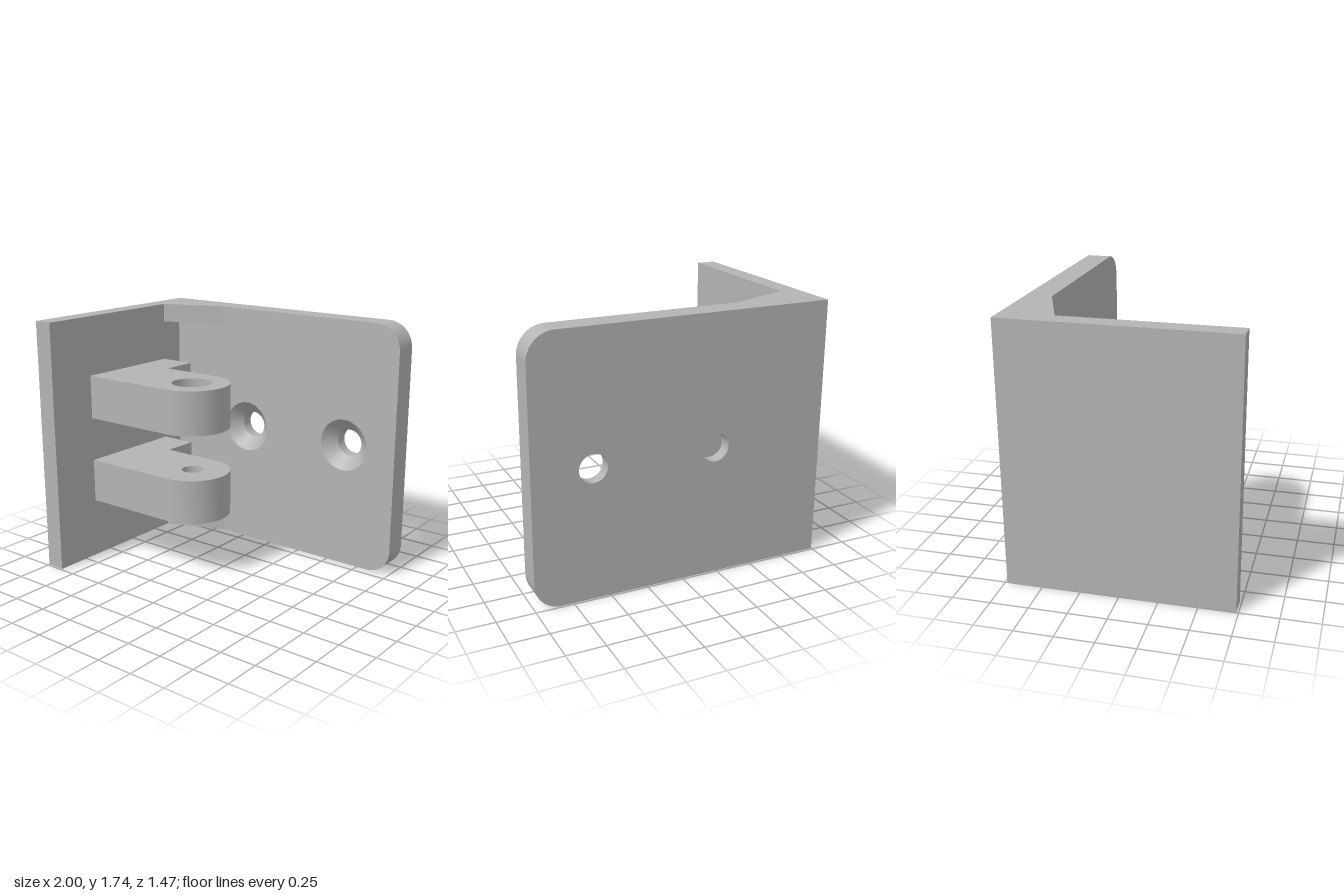
import * as THREE from 'three';
import { toCreasedNormals } from 'three/addons/utils/BufferGeometryUtils.js';

const HEIGHT = 1.74;
const BACK = -0.737, FACE = -0.567, SINK = 0.088; // back plate depths
const INNER = -0.87;                              // inner face of the side plate
const PIN = { x: -0.175, z: 0.126 };              // hinge pin axis

function addHole(shape, x, y, r) {
  shape.holes.push(new THREE.Path().absarc(x, y, r, 0, Math.PI * 2, true));
}

function extrude(shape, depth) {
  const geo = new THREE.ExtrudeGeometry(shape, { depth, bevelEnabled: false, curveSegments: 32 });
  return toCreasedNormals(geo, 0.5);
}

// Extrudes a plan drawn in (x, -z) upwards from y0 to y1
function extrudeUp(shape, y0, y1) {
  return extrude(shape, y1 - y0).rotateX(-Math.PI / 2).translate(0, y0, 0);
}

// Back plate outline: square at the side plate, rounded at the free end
function plateShape(holes, holeRadius) {
  const r = 0.175, s = new THREE.Shape();
  s.moveTo(-1, 0);
  s.lineTo(1 - r, 0);
  s.absarc(1 - r, r, r, -Math.PI / 2, 0, false);
  s.lineTo(1, HEIGHT - r);
  s.absarc(1 - r, HEIGHT - r, r, 0, Math.PI / 2, false);
  s.lineTo(-1, HEIGHT);
  s.closePath();
  holes.forEach((x) => addHole(s, x, HEIGHT / 2, holeRadius));
  return s;
}

// Hinge lug plan: stepped root, rounded nose, pin hole
function lugShape(holeRadius) {
  const r = 0.26, s = new THREE.Shape();
  s.moveTo(INNER, -(PIN.z + r));
  s.lineTo(PIN.x, -(PIN.z + r));
  s.absarc(PIN.x, -PIN.z, r, -Math.PI / 2, Math.PI / 2, false);
  s.lineTo(-0.613, r - PIN.z);
  s.lineTo(-0.613, 0.39);
  s.lineTo(INNER, 0.39);
  s.closePath();
  addHole(s, PIN.x, -PIN.z, holeRadius);
  return s;
}

export function createModel() {
  const group = new THREE.Group();
  const metal = new THREE.MeshStandardMaterial({ color: 0xb4b4b4 });
  const metalInside = metal.clone();
  metalInside.side = THREE.DoubleSide;
  const add = (name, geo, mat = metal) => {
    const mesh = new THREE.Mesh(geo, mat);
    mesh.name = name;
    group.add(mesh);
  };

  // Back plate in two layers, so the screw holes can widen towards the front
  const holes = [-0.22, 0.605], rSmall = 0.093, rBig = 0.182;
  const rear = FACE - SINK - BACK;
  add('backPlateRear', extrude(plateShape(holes, rSmall), rear).translate(0, 0, BACK));
  add('backPlateFront', extrude(plateShape(holes, rBig), SINK).translate(0, 0, FACE - SINK));
  holes.forEach((x) => {
    const cone = new THREE.CylinderGeometry(rBig, rSmall, SINK, 64, 1, true);
    cone.rotateX(Math.PI / 2).translate(x, HEIGHT / 2, FACE - SINK / 2);
    add('countersink', cone, metalInside);
  });

  // Side plate
  const sideDepth = 0.737 - FACE;
  add('sidePlate', new THREE.BoxGeometry(INNER + 1, HEIGHT, sideDepth)
    .translate((INNER - 1) / 2, HEIGHT / 2, FACE + sideDepth / 2));

  // Corner gussets at top and bottom
  const gusset = new THREE.Shape([
    new THREE.Vector2(INNER, 0.395),
    new THREE.Vector2(-0.44, -FACE),
    new THREE.Vector2(INNER, -FACE),
  ].reverse());
  [[0, 0.13], [HEIGHT - 0.13, HEIGHT]].forEach(([y0, y1]) =>
    add('gusset', extrudeUp(gusset, y0, y1)));

  // Hinge lugs: wide bore above, narrow lipped bore below
  add('upperLug', extrudeUp(lugShape(0.135), 1.025, 1.328));
  add('lowerLug', extrudeUp(lugShape(0.085), 0.415, 0.675));
  add('lowerLugLip', extrudeUp(lugShape(0.075), 0.675, 0.718));

  return group;
}
